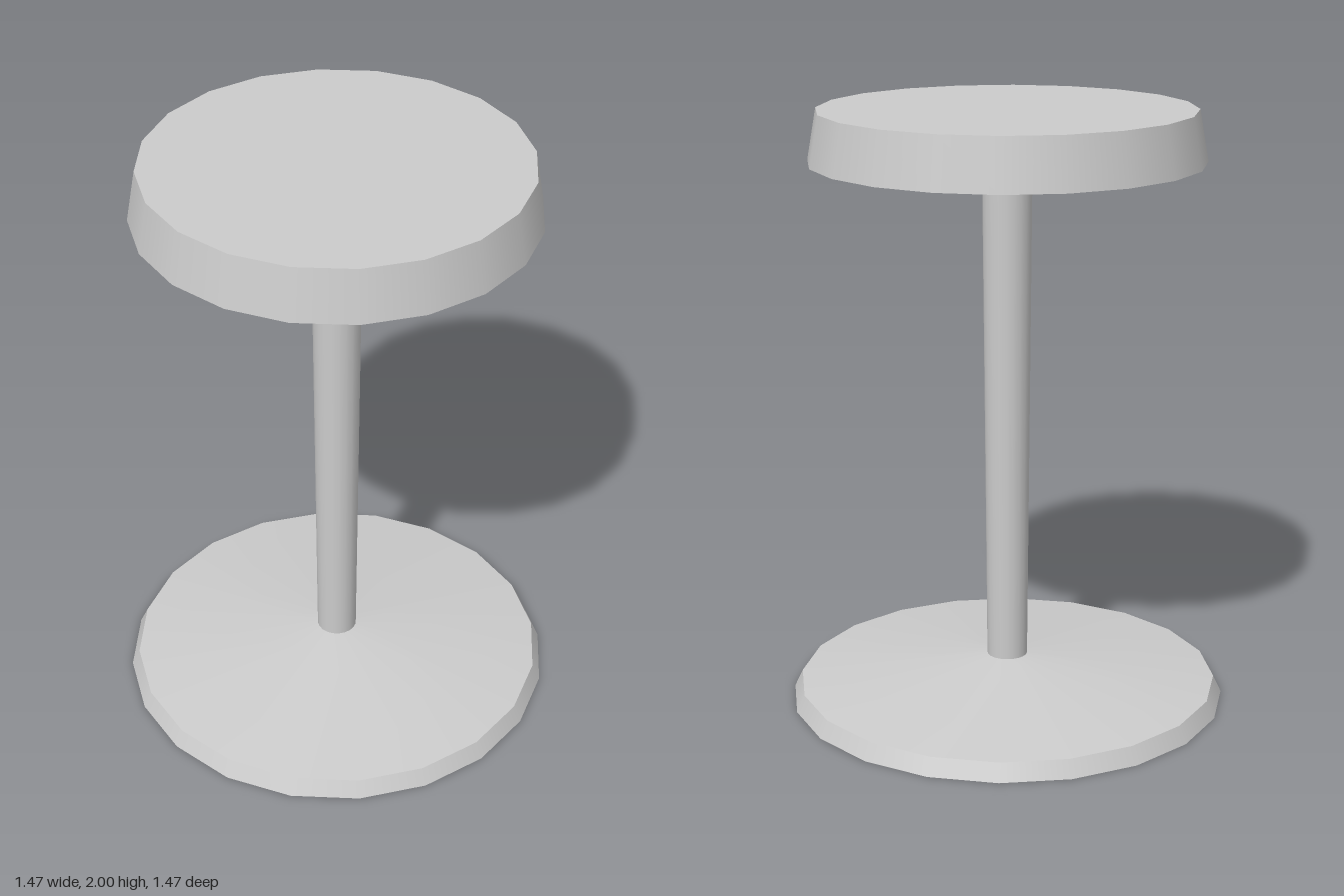
import * as THREE from 'three';
import { mergeGeometries } from 'three/addons/utils/BufferGeometryUtils.js';

const SIDES = 20;
const material = new THREE.MeshStandardMaterial({ color: 0xcccccc });

// Turned part from [radius, y] points, bottom to top: each band is smooth around
// its axis, with a sharp edge between bands. A radius of 0 closes an end.
function turned(name, profile) {
  const bands = [];
  for (let i = 0; i < profile.length - 1; i++) {
    const pair = [profile[i], profile[i + 1]].map(([r, y]) => new THREE.Vector2(r, y));
    bands.push(new THREE.LatheGeometry(pair, SIDES));
  }
  const mesh = new THREE.Mesh(mergeGeometries(bands), material);
  mesh.name = name;
  return mesh;
}

export function createModel() {
  const stool = new THREE.Group();
  stool.name = 'stool';

  // Foot disc with a slanted rim and a shallow cone on top
  stool.add(turned('base', [[0, 0], [0.735, 0], [0.708, 0.057], [0.068, 0.135]]));

  // Post, slightly wider towards the seat
  stool.add(turned('post', [[0.068, 0.135], [0.081, 1.759]]));

  // Flared collar joining post and seat
  stool.add(turned('collar', [[0.081, 1.759], [0.13, 1.77], [0.152, 1.832]]));

  // Round seat, narrowing upwards
  stool.add(turned('seat', [[0, 1.832], [0.645, 1.832], [0.615, 2], [0, 2]]));

  return stool;
}
